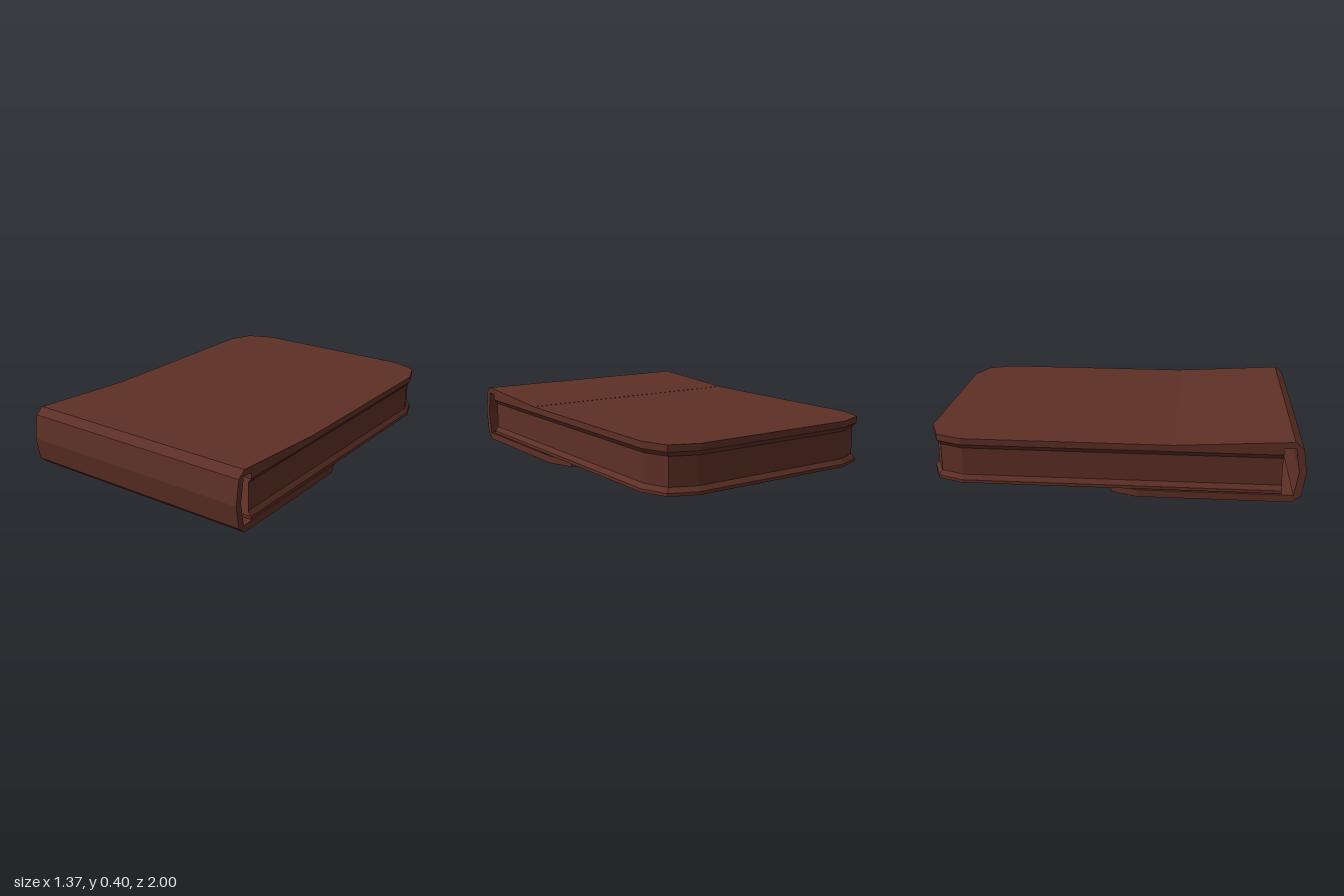
import * as THREE from 'three';

const mat = (name, color, side = THREE.FrontSide) =>
  Object.assign(new THREE.MeshStandardMaterial({ color, flatShading: true, side }), { name });

const HALF = 0.685;

// Outline in x/z: straight front edge, chamfered far end at z = tip, inset by d
function tongue(front, tip, d = 0) {
  const half = [
    [HALF - d, front],
    [HALF - d, tip + 0.2 + 0.2 * d],
    [0.63 - 0.8 * d, tip + 0.06 + 0.8 * d],
    [0.48 - 0.2 * d, tip + d],
  ];
  return [...half, ...half.slice().reverse().map(([x, z]) => [-x, z])];
}

const toShape = (pts) => new THREE.Shape(pts.map(([a, b]) => new THREE.Vector2(a, b)));

// Flat plate from an x/z shape between y0 and y1
function plate(shape, y0, y1) {
  const g = new THREE.ExtrudeGeometry(shape, { depth: y1 - y0, bevelEnabled: false, curveSegments: 4 });
  return g.rotateX(Math.PI / 2).translate(0, y1, 0);
}

// Strip from a closed z/y profile, centred across x
function strip(profile, width) {
  const g = new THREE.ExtrudeGeometry(toShape(profile), { depth: width, bevelEnabled: false });
  return g.rotateY(-Math.PI / 2).translate(width / 2, 0, 0);
}

// Thicken a z/y path downwards into a closed profile
const thicken = (path, t) => [...path, ...path.slice().reverse().map(([z, y]) => [z, y - t])];

// Strap outline with a rounded end at z = end and a square end at z = start
function strapShape(start, end, w) {
  const s = Math.sign(end - start);
  return toShape([[w, start], [w, end - s * 0.07], [w * 0.6, end - s * 0.018], [w * 0.25, end],
    [-w * 0.25, end], [-w * 0.6, end - s * 0.018], [-w, end - s * 0.07], [-w, start]]);
}

function hole(x, z, r) {
  const p = new THREE.Path();
  p.absarc(x, z, r, 0, Math.PI * 2, true);
  return p;
}

// Rectangle with clipped corners, as points
const clipped = (w, h, c) => [[w, h - c], [w - c, h], [c - w, h], [-w, h - c],
  [-w, c - h], [c - w, -h], [w - c, -h], [w, c - h]];

// Side wall running round the pouch, pinched in between the two panels
function gussetGeometry() {
  const rows = [[0, 0.125], [0.02, 0.15], [0.02, 0.3], [0, 0.327]]
    .map(([d, y]) => tongue(0.88, -1, d).map(([x, z]) => [x, y, z]));
  const pos = [];
  for (let r = 0; r < rows.length - 1; r++) {
    for (let i = 0; i < rows[r].length - 1; i++) {
      const a = rows[r][i], b = rows[r][i + 1], c = rows[r + 1][i + 1], e = rows[r + 1][i];
      pos.push(...a, ...b, ...c, ...a, ...c, ...e);
    }
  }
  const g = new THREE.BufferGeometry();
  g.setAttribute('position', new THREE.Float32BufferAttribute(pos, 3));
  g.computeVertexNormals();
  return g;
}

export function createModel() {
  const leather = mat('brown leather', 0x5e3026);
  const leatherWall = mat('brown leather wall', 0x5e3026, THREE.DoubleSide);
  const steel = mat('dark steel', 0x596066);
  const brass = mat('brass', 0x9c8752);

  const model = new THREE.Group();
  model.name = 'pouch';
  const add = (name, geometry, material, parent = model) => {
    const m = new THREE.Mesh(geometry, material);
    m.name = name;
    parent.add(m);
    return m;
  };

  // Pouch body, open at the mouth
  add('backPanel', plate(toShape(tongue(0.88, -1)), 0.325, 0.36), leather);
  add('frontPanel', plate(toShape(tongue(0.88, -1)), 0.11, 0.126), leather);
  add('gusset', gussetGeometry(), leatherWall);

  // Flap that wraps round the mouth
  add('flapWrap', strip([
    [0.33, 0.361], [0.935, 0.396], [0.98, 0.362], [1, 0.23], [0.98, 0.104], [0.935, 0.065], [0.13, 0.065],
    [0.13, 0.104], [0.94, 0.104], [0.962, 0.23], [0.94, 0.362], [0.88, 0.358], [0.33, 0.355],
  ].reverse(), HALF * 2), leather);
  add('flapTip', plate(toShape(tongue(0.13, -0.07)), 0.065, 0.104), leather);

  // Strap riveted to the flap
  add('flapStrap', plate(strapShape(-0.1, 0.36, 0.065), 0.05, 0.066), leather);
  for (const z of [0.24, 0.04]) {
    add('rivet', new THREE.CylinderGeometry(0.045, 0.032, 0.014, 6).translate(0, 0.044, z), brass);
  }

  // Strap on the body, with holes, bending through the buckle
  const bodyStrap = strapShape(-0.31, -0.68, 0.06);
  bodyStrap.holes.push(hole(0, -0.46, 0.01), hole(0, -0.55, 0.01));
  add('bodyStrap', plate(bodyStrap, 0.095, 0.111), leather);
  add('strapBend', strip(thicken(
    [[-0.32, 0.11], [-0.295, 0.1], [-0.24, 0.055], [-0.16, 0.042], [-0.09, 0.062]], 0.015), 0.12), leather);

  // Tilted buckle frame with its prong
  const buckle = new THREE.Group();
  buckle.name = 'buckle';
  buckle.position.set(0, 0.066, -0.205);
  buckle.rotation.x = 0.2;
  model.add(buckle);
  const frame = toShape(clipped(0.088, 0.12, 0.03));
  frame.holes.push(new THREE.Path(
    clipped(0.066, 0.096, 0.02).reverse().map(([a, b]) => new THREE.Vector2(a, b))));
  add('buckleFrame', plate(frame, -0.01, 0.01), steel, buckle);
  add('buckleProng', strip(thicken([[-0.24, 0.054], [-0.17, 0.032], [-0.11, 0.014]], 0.014), 0.016), steel);

  return model;
}
